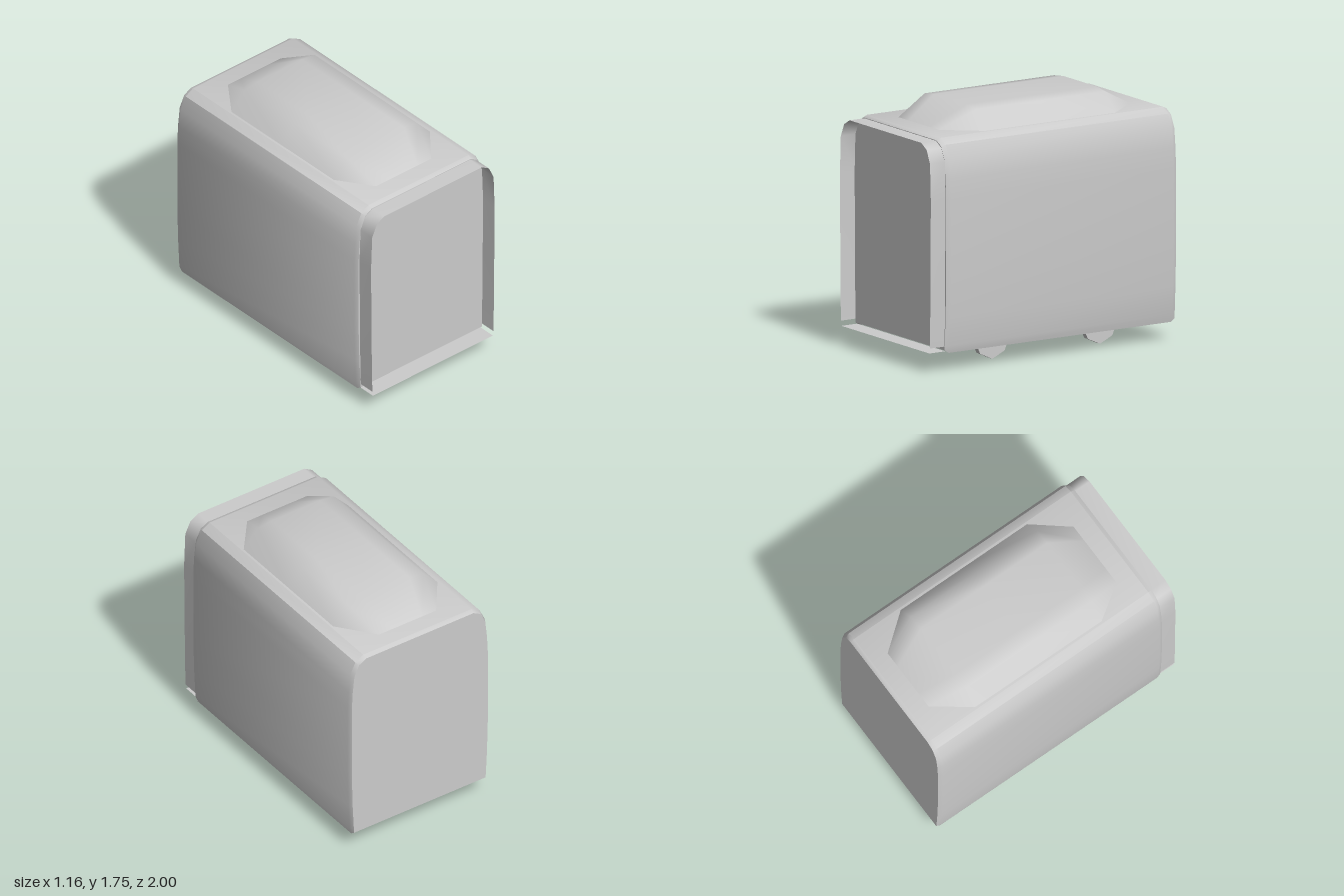
import * as THREE from 'three';
import { toCreasedNormals } from 'three/addons/utils/BufferGeometryUtils.js';

const grey = new THREE.MeshStandardMaterial({ color: 0xcccccc, side: THREE.DoubleSide });
grey.name = 'light grey';

// Adds the mirrored half to a right-hand profile that runs from bottom to top
const mirror = (half) => [...half, ...half.map(([x, y]) => [-x, y]).reverse()];
const toShape = (points) => new THREE.Shape(points.map(([x, y]) => new THREE.Vector2(x, y)));

// Skins rows of [x, y, z] points into an open surface
function loft(rows) {
  const n = rows[0].length, index = [];
  for (let i = 0; i < rows.length - 1; i++) {
    for (let j = 0; j < n - 1; j++) {
      const a = i * n + j, b = a + n;
      index.push(a, b, a + 1, b, b + 1, a + 1);
    }
  }
  const geometry = new THREE.BufferGeometry();
  geometry.setAttribute('position', new THREE.Float32BufferAttribute(rows.flat(2), 3));
  geometry.setIndex(index);
  geometry.computeVertexNormals();
  return geometry;
}

export function createModel() {
  const model = new THREE.Group();
  const add = (name, geometry) => {
    const mesh = new THREE.Mesh(geometry, grey);
    mesh.name = name;
    model.add(mesh);
    return mesh;
  };

  // Casing: long rounded box with slightly bevelled ends
  const casing = mirror([
    [0.54, 0.14], [0.55, 0.128], [0.563, 0.18], [0.573, 0.38], [0.58, 0.65], [0.58, 1.2],
    [0.573, 1.34], [0.558, 1.48], [0.515, 1.57], [0.45, 1.607],
  ]);
  const body = new THREE.ExtrudeGeometry(toShape(casing), {
    depth: 1.82, bevelSize: 0.015, bevelOffset: -0.015, bevelThickness: 0.03, bevelSegments: 1,
  });
  body.translate(0, 0, -0.97);
  add('casing', toCreasedNormals(body, 0.6));

  // Front rim: thin open wall around the recessed front panel
  const rim = mirror([
    [0.545, 0.175], [0.55, 0.4], [0.557, 1.2], [0.547, 1.46], [0.505, 1.55], [0.44, 1.588],
  ]);
  add('frontRim', loft([0.87, 1].map((z) => rim.map(([x, y]) => [x, y, z]))));
  const floor = new THREE.PlaneGeometry(1.08, 0.13);
  floor.rotateX(-Math.PI / 2);
  add('frontRimFloor', floor).position.set(0, 0.14, 0.935);

  // Roof hump: skewed ends falling away to the casing
  const crown = [[-0.435, 1.605], [-0.315, 1.735], [-0.2, 1.75], [0.2, 1.75], [0.315, 1.735], [0.435, 1.605]];
  const end = (x0, x1, z) => crown.map((p, i) => [x0 + (x1 - x0) * i / 5, 1.605, z]);
  const middle = (z) => crown.map(([x, y]) => [x, y, z]);
  add('roofHump', loft([
    end(-0.36, 0.23, -0.85), middle(-0.59), middle(-0.06), middle(0.47), end(-0.265, 0.355, 0.72),
  ]));

  // Feet: four thin fins on two mounting strips
  const fin = new THREE.ExtrudeGeometry(
    toShape([[-0.135, 0.15], [-0.135, 0.13], [-0.1, 0.05], [0, 0.003], [0.1, 0.05], [0.135, 0.13], [0.135, 0.15]]),
    { depth: 0.045, bevelEnabled: false });
  fin.translate(0, 0, -0.0225);
  fin.rotateY(Math.PI / 2);
  for (const side of [-1, 1]) {
    add('footStrip', new THREE.BoxGeometry(0.1, 0.02, 1.15)).position.set(side * 0.385, 0.135, -0.055);
    for (const z of [0.385, -0.495]) add('foot', fin).position.set(side * 0.367, 0, z);
  }
  return model;
}
